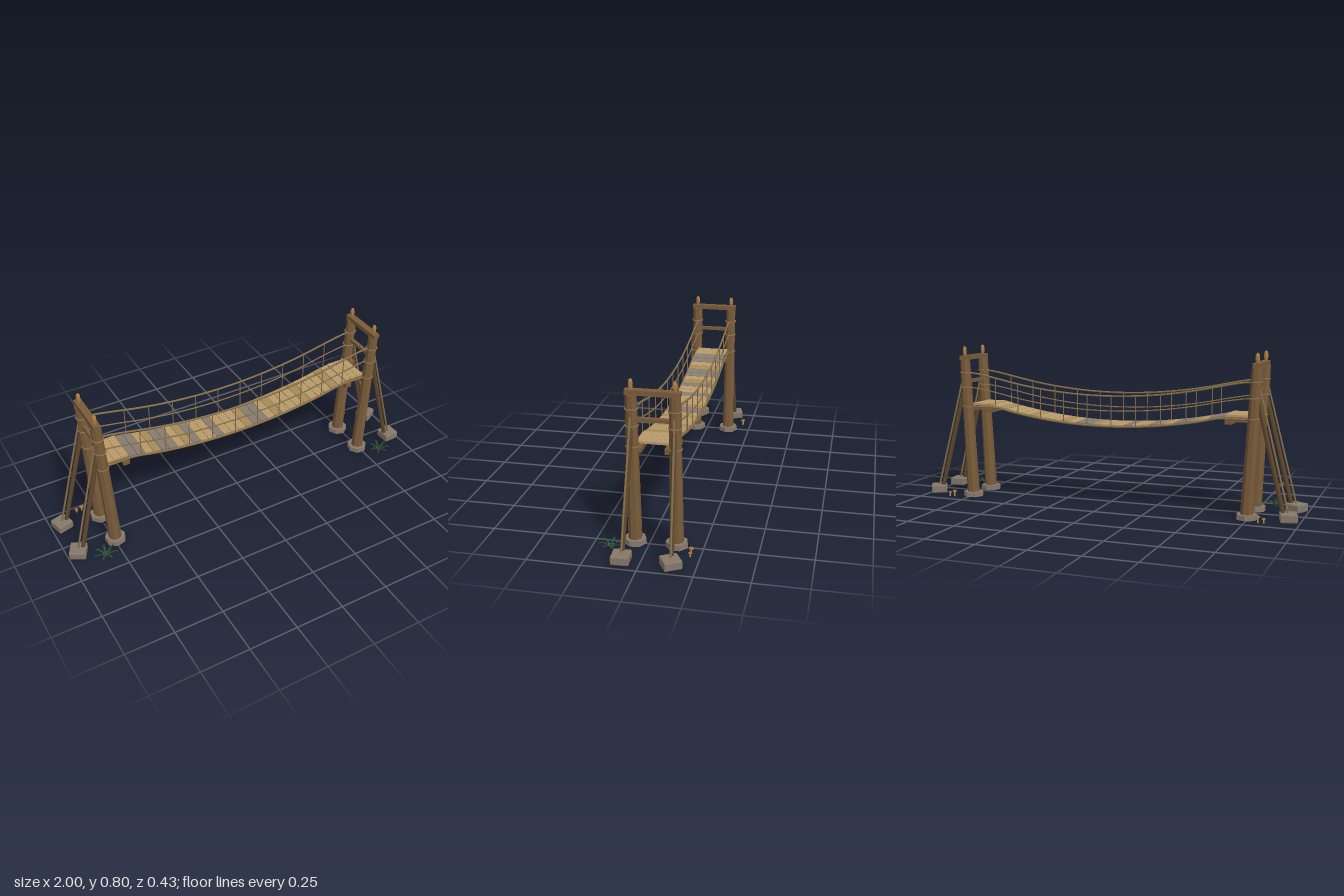
import * as THREE from 'three';
import { RoundedBoxGeometry } from 'three/addons/geometries/RoundedBoxGeometry.js';

const mat = (name, color, extra = {}) => {
  const m = new THREE.MeshStandardMaterial({ color, flatShading: true, ...extra });
  m.name = name;
  return m;
};
const V = (x, y, z) => new THREE.Vector3(x, y, z);

export function createModel() {
  const M = {
    wood: mat('brown wood', 0x7a5c3a),
    dark: mat('dark wood', 0x5f472c),
    plank: mat('tan plank', 0xb89b69),
    plank2: mat('worn plank', 0xa88b5b),
    grey: mat('weathered plank', 0x877c70),
    gold: mat('honey wood', 0xb17f42),
    rope: mat('rope', 0x8a714c, { flatShading: false }),
    stone: mat('stone', 0x85786b),
    leaf: mat('fern green', 0x2a5236, { side: THREE.DoubleSide }),
    cap: mat('mushroom cap', 0xa0703c),
  };
  const root = new THREE.Group();
  root.name = 'ropeBridge';

  const add = (name, geo, material, pos = [0, 0, 0]) => {
    const m = new THREE.Mesh(geo, material);
    m.name = name;
    m.position.set(...pos);
    root.add(m);
    return m;
  };
  const box = (name, w, h, d, material, pos) => add(name, new THREE.BoxGeometry(w, h, d), material, pos);
  // Round pole from a to b
  const pole = (name, a, b, r0, r1, sides, material) => {
    const m = add(name, new THREE.CylinderGeometry(r1, r0, a.distanceTo(b), sides), material);
    m.position.copy(a).lerp(b, 0.5);
    m.quaternion.setFromUnitVectors(V(0, 1, 0), b.clone().sub(a).normalize());
    return m;
  };

  const ZC = -0.03;            // bridge centre line
  const ZP = 0.097;            // half spacing of the posts
  const ZR = 0.09;             // half spacing of the ropes
  const sag = (x) => 0.19 * x * x;

  // Hanging rope: parabola over the span, easing onto the towers
  const hangingRope = (name, yMid, yEnd, z, r) => {
    const pts = [V(-0.785, yEnd, z), V(-0.72, yEnd - 0.004, z)];
    for (let i = -6; i <= 6; i++) pts.push(V(i * 0.1, yMid + sag(i * 0.1), z));
    pts.push(V(0.72, yEnd - 0.004, z), V(0.785, yEnd, z));
    add(name, new THREE.TubeGeometry(new THREE.CatmullRomCurve3(pts), 48, r, 6), M.rope);
  };

  // Walkway planks
  const greyPlanks = [0, 1, 4, 5, 8, 11, 16, 17];
  const PITCH = 0.0433;
  const plankX = (i) => (i - 14) * PITCH;
  for (let i = 0; i < 29; i++) {
    const x = plankX(i);
    const material = greyPlanks.includes(i) ? M.grey : i % 4 === 3 ? M.plank2 : M.plank;
    const p = box('plank', 0.0405, 0.009, 0.17, material, [x, 0.416 + sag(x), ZC]);
    p.rotation.z = Math.atan(0.38 * x);
  }

  // Ropes and hangers on both sides
  for (const s of [-1, 1]) {
    const z = ZC + s * ZR;
    hangingRope('handRope', 0.565, 0.66, z, 0.005);
    hangingRope('middleRope', 0.49, 0.582, z, 0.0035);
    hangingRope('footRope', 0.411, 0.483, z, 0.0055);
    for (let i = 1; i < 29; i += 3) {
      const x = plankX(i);
      pole('hanger', V(x, 0.411 + sag(x), z), V(x, 0.565 + sag(x), z), 0.0027, 0.0027, 5, M.rope);
    }
  }

  const finialProfile = [[0, 0], [0.007, 0], [0.0105, 0.016], [0.0105, 0.036], [0.007, 0.047], [0, 0.051]]
    .map(([x, y]) => new THREE.Vector2(x, y));
  const stoneTurn = { '-1,-1': 0.26, '-1,1': -0.5, '1,-1': 0.54, '1,1': 0.05 };

  for (const sx of [-1, 1]) {
    const postX = (y) => sx * (0.743 + 0.05 * y);

    // Posts, bands, finials, footings and stays
    for (const sz of [-1, 1]) {
      const z = ZC + sz * ZP;
      const foot = add('postFooting', new THREE.CylinderGeometry(0.052, 0.054, 0.025, 7), M.stone, [postX(0), 0.0125, z]);
      foot.rotation.y = sx * 0.3 + sz;
      const post = pole('post', V(postX(0), 0.01, z), V(postX(0.73), 0.73, z), 0.0325, 0.026, 8, M.wood);
      post.rotateY(Math.PI / 8);
      for (const y of [0.66, 0.582, 0.483]) {
        const band = add('ropeBand', new THREE.TorusGeometry(0.0285, 0.0035, 6, 16), M.rope, [postX(y), y, z]);
        band.rotation.set(Math.PI / 2, sx * 0.05, 0);
      }
      add('finial', new THREE.LatheGeometry(finialProfile, 8), M.gold, [postX(0.75), 0.748, z]);

      const zs = ZC + sz * 0.111;
      const block = add('anchorStone', new RoundedBoxGeometry(0.083, 0.042, 0.083, 1, 0.006), M.stone, [sx * 0.946, 0.029, zs]);
      block.rotation.y = stoneTurn[`${sx},${sz}`];
      pole('brace', V(sx * 0.785, 0.585, z), V(sx * 0.92, 0.045, zs), 0.012, 0.011, 7, M.dark);
      pole('stayRope', V(sx * 0.787, 0.66, z), V(sx * 0.945, 0.045, zs), 0.005, 0.005, 6, M.rope);

      // Joists under the landing
      box('landingJoist', 0.17, 0.024, 0.019, M.wood, [sx * 0.705, 0.474, ZC + sz * 0.061]);
    }

    // Tower crossbeams
    box('topBeam', 0.036, 0.023, 0.246, M.wood, [postX(0.74), 0.739, ZC]);
    box('middleBeam', 0.02, 0.017, 0.17, M.wood, [postX(0.613), 0.613, ZC]);
    box('landingBeam', 0.034, 0.022, 0.2, M.wood, [sx * 0.645, 0.464, ZC]);

    // Landing planks
    for (let i = 0; i < 3; i++) {
      box('landingPlank', 0.037, 0.011, 0.17, M.plank, [sx * (0.647 + i * 0.039), 0.493, ZC]);
    }

    // Mushrooms
    for (const [x, h, r] of [[0.814, 0.039, 0.012], [0.842, 0.032, 0.01]]) {
      pole('mushroomStem', V(sx * x, 0.006, -0.207), V(sx * x, h - 0.004, -0.207), 0.004, 0.003, 6, M.plank);
      const cap = add('mushroomCap', new THREE.SphereGeometry(r, 8, 4, 0, Math.PI * 2, 0, Math.PI / 2), M.cap, [sx * x, h - 0.008, -0.207]);
      cap.scale.y = 0.8;
      const under = add('mushroomGills', new THREE.CircleGeometry(r, 8), M.cap, [sx * x, h - 0.008, -0.207]);
      under.rotation.x = Math.PI / 2;
    }

    // Fern
    const fern = add('fern', fernGeometry(), M.leaf, [sx * 0.832, 0.006, 0.157]);
    fern.rotation.y = sx * 0.4;
  }
  return root;
}

// Arching fronds with broad leaflet pairs along each rib
function fernGeometry() {
  const pos = [];
  const FRONDS = 7, STEPS = 5;
  for (let f = 0; f < FRONDS; f++) {
    const a = (f / FRONDS) * Math.PI * 2;
    const len = f % 3 === 0 ? 0.062 : 0.055;
    const at = (t, side, drop = 0) => [
      Math.cos(a) * len * t - Math.sin(a) * side,
      0.029 * Math.sin(t * 2.0) - drop,
      Math.sin(a) * len * t + Math.cos(a) * side,
    ];
    for (let i = 0; i < STEPS; i++) {
      const t = i / STEPS, t2 = (i + 1) / STEPS;
      const w = 0.0032 * (1 - t * 0.6), w2 = 0.0032 * (1 - t2 * 0.6);
      pos.push(...at(t, -w), ...at(t, w), ...at(t2, w2), ...at(t, -w), ...at(t2, w2), ...at(t2, -w2));
      if (i === 0) continue;
      const reach = 0.0135 * (1 - t * 0.6);
      for (const s of [-1, 1]) {
        pos.push(...at(t - 0.05, 0), ...at(t + 0.1, 0), ...at(t + 0.13, s * reach, 0.003));
      }
    }
  }
  const g = new THREE.BufferGeometry();
  g.setAttribute('position', new THREE.Float32BufferAttribute(pos, 3));
  g.computeVertexNormals();
  return g;
}
